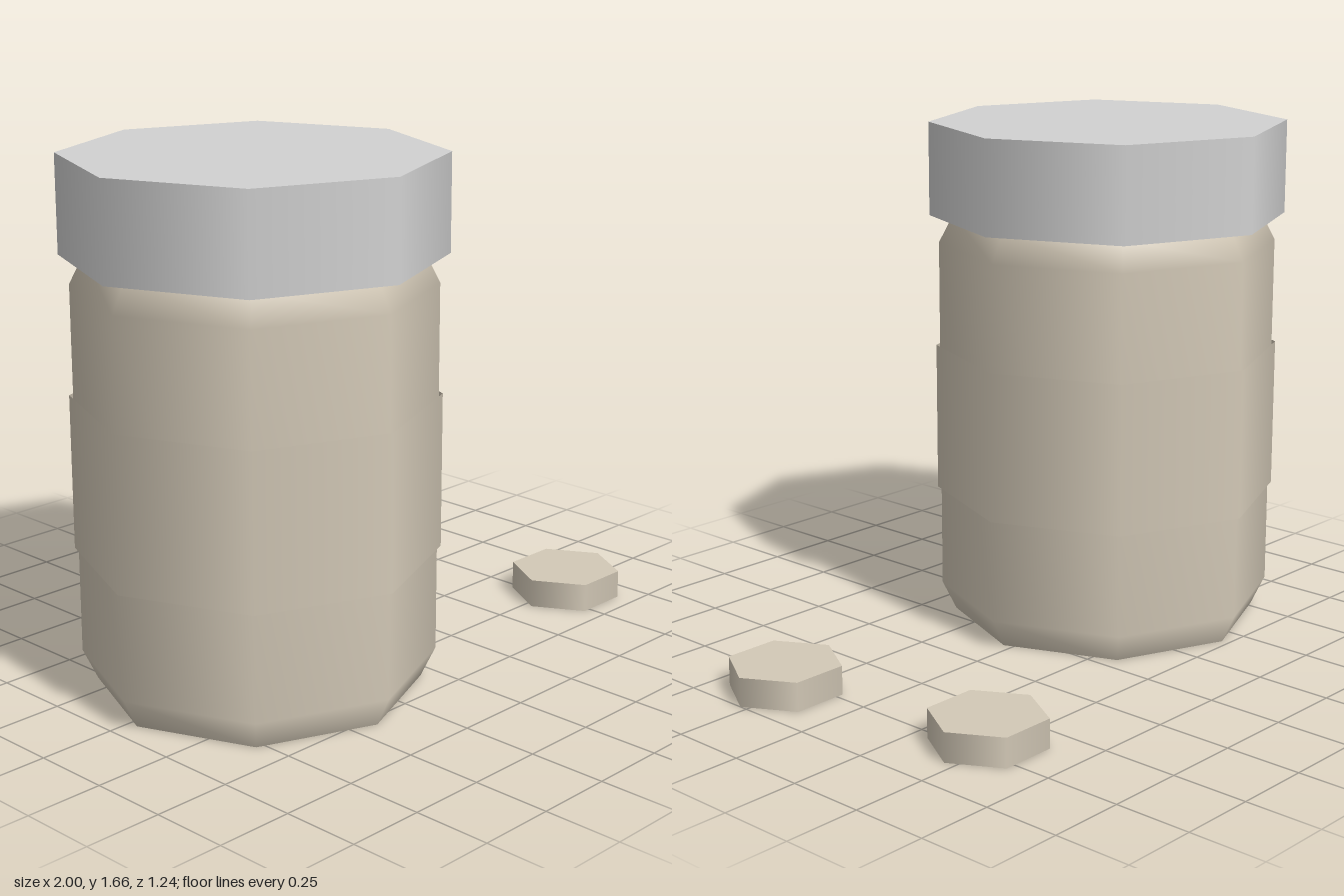
import * as THREE from 'three';

const tan = new THREE.MeshStandardMaterial({ color: 0xd3c9b7, side: THREE.DoubleSide });
tan.name = 'warm tan';
const grey = new THREE.MeshStandardMaterial({ color: 0xd2d2d2, side: THREE.DoubleSide });
grey.name = 'light grey';

function part(name, geometry, material, y = 0) {
  const mesh = new THREE.Mesh(geometry, material);
  mesh.name = name;
  mesh.position.y = y;
  return mesh;
}

// Open-bottomed prism: smooth wall with a flat top
function cap(name, radius, height, sides, material) {
  const group = new THREE.Group();
  group.name = name;
  const wall = new THREE.CylinderGeometry(radius, radius, height, sides, 1, true);
  wall.rotateY(Math.PI / 2);
  const top = new THREE.CircleGeometry(radius, sides);
  top.rotateX(-Math.PI / 2);
  group.add(part(name + 'Wall', wall, material, height / 2), part(name + 'Top', top, material, height));
  return group;
}

export function createModel() {
  const model = new THREE.Group();
  model.name = 'pillBottle';

  const bottle = new THREE.Group();
  bottle.name = 'bottle';
  bottle.position.set(-0.417, 0, 0.033);
  model.add(bottle);

  // Eight-sided body, chamfered at base and shoulder, open at both ends
  const profile = [[0.507, 0], [0.553, 0.095], [0.553, 1.27], [0.507, 1.36]];
  const body = new THREE.LatheGeometry(profile.map(([r, y]) => new THREE.Vector2(r, y)), 8);
  bottle.add(part('body', body, tan));

  // Wrapped label band
  bottle.add(part('label', new THREE.CylinderGeometry(0.565, 0.565, 0.49, 8, 1, true), tan, 0.68));

  // Lid
  const lid = cap('lid', 0.583, 0.305, 8, grey);
  lid.position.y = 1.36;
  bottle.add(lid);

  // Loose hexagonal pills beside the bottle
  [[0.817, 0.277], [0.69, -0.463]].forEach(([x, z]) => {
    const pill = cap('pill', 0.183, 0.094, 6, tan);
    pill.position.set(x, 0, z);
    model.add(pill);
  });

  return model;
}
